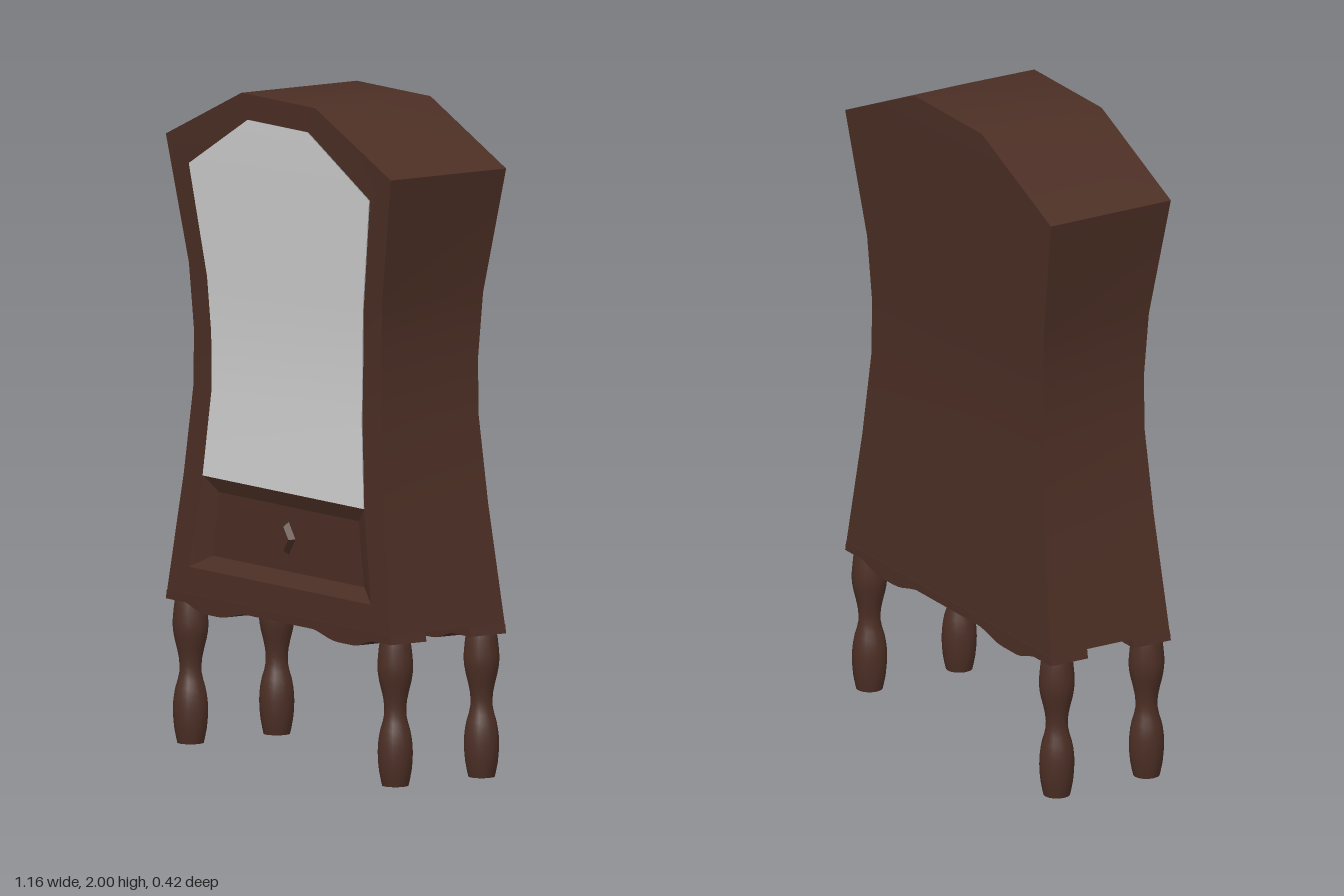
import * as THREE from 'three';

const wood = new THREE.MeshStandardMaterial({ color: 0x4c2f25 });
wood.name = 'dark wood';
const glass = new THREE.MeshStandardMaterial({ color: 0xd2d2d2 });
glass.name = 'pale glass';

// Smooth surface through rows of points (columns run right, rows run up when seen from outside)
function patch(rows) {
  const n = rows[0].length, index = [];
  for (let i = 0; i < rows.length - 1; i++) {
    for (let j = 0; j < n - 1; j++) {
      const a = i * n + j, b = a + 1, c = a + n, d = c + 1;
      index.push(a, b, d, a, d, c);
    }
  }
  const g = new THREE.BufferGeometry();
  g.setAttribute('position', new THREE.Float32BufferAttribute(rows.flat(2), 3));
  g.setIndex(index);
  g.computeVertexNormals();
  return g;
}

// Half depth of the waisted case at each height
const depths = [[0.43, 0.21], [0.8, 0.191], [1.08, 0.177], [1.25, 0.176], [1.45, 0.184], [1.83, 0.21], [2, 0.21]];
function depthAt(y) {
  for (let i = 1; i < depths.length; i++) {
    const [y0, z0] = depths[i - 1], [y1, z1] = depths[i];
    if (y <= y1) return z0 + (z1 - z0) * (y - y0) / (y1 - y0);
  }
  return 0.21;
}
const front = ([x, y], lift = 0) => [x, y, depthAt(y) + lift];
const back = ([x, y]) => [x, y, -depthAt(y)];
const flip = ([x, y]) => [-x, y];

export function createModel() {
  const model = new THREE.Group();
  const add = (name, geometry, material = wood, parent = model) => {
    const mesh = new THREE.Mesh(geometry, material);
    mesh.name = name;
    parent.add(mesh);
    return mesh;
  };

  // Half outlines, bottom to top: case edge and inner edge of the front frame
  const outer = [[0.575, 0.46], [0.515, 0.82], [0.485, 1.08], [0.483, 1.25], [0.498, 1.45], [0.58, 1.83], [0.19, 2]];
  const inner = [[0.47, 0.54], [0.415, 0.82], [0.387, 1.08], [0.39, 1.25], [0.402, 1.42], [0.465, 1.755], [0.155, 1.923]];
  const walls = outer.slice(0, 6);

  // Case
  const body = new THREE.Group();
  body.name = 'case';
  model.add(body);
  add('leftSide', patch(walls.map(p => [front(p), back(p)])), wood, body);
  add('rightSide', patch(walls.map(p => [back(flip(p)), front(flip(p))])), wood, body);
  add('back', patch(outer.map(p => [back(p), back(flip(p))])), wood, body);
  const roof = [flip(outer[5]), flip(outer[6]), outer[6], outer[5]];
  add('roof', patch([roof.map(p => front(p)), roof.map(back)]), wood, body);
  add('floor', patch([[back(flip(outer[0])), back(outer[0])], [front(flip(outer[0])), front(outer[0])]]), wood, body);

  // Front frame around the glass and the drawer
  const frame = new THREE.Group();
  frame.name = 'frontFrame';
  model.add(frame);
  add('leftStile', patch(outer.map((p, i) => [front(inner[i]), front(p)])), wood, frame);
  add('rightStile', patch(outer.map((p, i) => [front(flip(p)), front(flip(inner[i]))])), wood, frame);
  const rail = (name, low, high) =>
    add(name, patch([low, high].map(p => [front(flip(p)), front(p)])), wood, frame);
  rail('bottomRail', outer[0], inner[0]);
  rail('topRail', inner[6], outer[6]);

  // Glass pane, following the curve of the front
  add('glassPane', patch(inner.slice(1).map(p => [front(flip(p), 0.003), front(p, 0.003)])), glass);

  // Recessed drawer panel with sloped edges
  const drawer = new THREE.Group();
  drawer.name = 'drawer';
  model.add(drawer);
  const rim = [flip(inner[0]), inner[0], inner[1], flip(inner[1])].map(p => front(p));
  const panelZ = 0.172;
  const bed = [[-0.39, 0.58], [0.39, 0.58], [0.36, 0.775], [-0.36, 0.775]].map(([x, y]) => [x, y, panelZ]);
  for (let i = 0; i < 4; i++) {
    const k = (i + 1) % 4;
    add('drawerBevel', patch([[rim[i], rim[k]], [bed[i], bed[k]]]), wood, drawer);
  }
  add('drawerPanel', patch([[bed[0], bed[1]], [bed[3], bed[2]]]), wood, drawer);

  // Diamond knob
  const knob = new THREE.CylinderGeometry(0.026, 0.035, 0.02, 4).toNonIndexed();
  knob.computeVertexNormals();
  knob.rotateX(Math.PI / 2).scale(1, 1.4, 1);
  add('knob', knob, wood, drawer).position.set(0, 0.68, panelZ + 0.01);

  // Scalloped aprons under the front and back
  const apron = new THREE.Shape();
  apron.moveTo(-0.575, 0.46);
  apron.lineTo(-0.58, 0.432);
  apron.lineTo(-0.48, 0.432);
  apron.bezierCurveTo(-0.43, 0.42, -0.42, 0.408, -0.38, 0.408);
  apron.lineTo(-0.31, 0.408);
  apron.bezierCurveTo(-0.26, 0.408, -0.23, 0.425, -0.18, 0.432);
  apron.lineTo(0.18, 0.432);
  apron.bezierCurveTo(0.23, 0.425, 0.26, 0.408, 0.31, 0.408);
  apron.lineTo(0.38, 0.408);
  apron.bezierCurveTo(0.42, 0.408, 0.43, 0.42, 0.48, 0.432);
  apron.lineTo(0.58, 0.432);
  apron.lineTo(0.575, 0.46);
  const apronGeometry = new THREE.ExtrudeGeometry(apron, { depth: 0.13, bevelEnabled: false, curveSegments: 5 });
  add('frontApron', apronGeometry).position.z = 0.08;
  add('backApron', apronGeometry).position.z = -0.21;

  // Turned legs
  const turning = new THREE.SplineCurve([
    [0.04, 0], [0.05, 0.05], [0.053, 0.11], [0.047, 0.16], [0.034, 0.21],
    [0.036, 0.26], [0.05, 0.32], [0.054, 0.36], [0.05, 0.41], [0.046, 0.435],
  ].map(p => new THREE.Vector2(...p))).getPoints(20);
  const legGeometry = new THREE.LatheGeometry([new THREE.Vector2(0, 0), new THREE.Vector2(0.04, 0)], 16);
  const shaft = new THREE.LatheGeometry(turning, 16);
  for (const x of [-0.528, 0.528]) {
    for (const z of [-0.157, 0.157]) {
      const leg = new THREE.Group();
      leg.name = (z > 0 ? 'front' : 'back') + (x > 0 ? 'Left' : 'Right') + 'Leg';
      leg.position.set(x, 0, z);
      add('shaft', shaft, wood, leg);
      add('foot', legGeometry, wood, leg);
      model.add(leg);
    }
  }
  return model;
}
